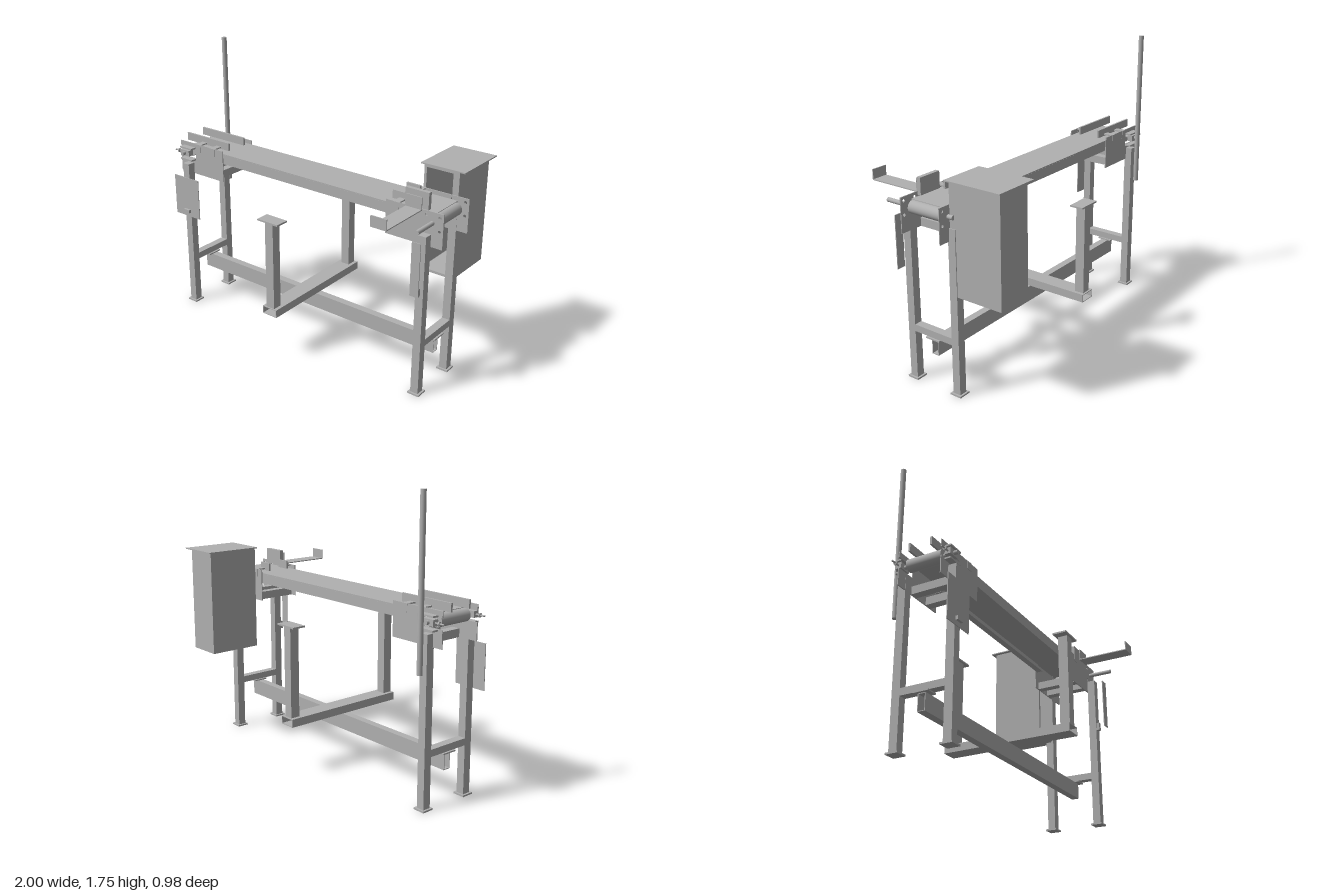
import * as THREE from 'three';

const steel = new THREE.MeshStandardMaterial({ color: 0xb0b0b0, side: THREE.DoubleSide });
steel.name = 'grey steel';

export function createModel() {
  const model = new THREE.Group();
  model.name = 'beltConveyor';

  const add = (name, geo) => {
    const mesh = new THREE.Mesh(geo, steel);
    mesh.name = name;
    model.add(mesh);
    return mesh;
  };
  // Box given by its extents on each axis
  const box = (name, x0, x1, y0, y1, z0, z1) => {
    const m = add(name, new THREE.BoxGeometry(x1 - x0, y1 - y0, z1 - z0));
    m.position.set((x0 + x1) / 2, (y0 + y1) / 2, (z0 + z1) / 2);
    return m;
  };
  // Cylinder along z or x
  const rod = (name, axis, r, a, b, u, y, sides = 24) => {
    const m = add(name, new THREE.CylinderGeometry(r, r, b - a, sides));
    if (axis === 'z') {
      m.rotation.x = Math.PI / 2;
      m.position.set(u, y, (a + b) / 2);
    } else {
      m.rotation.z = Math.PI / 2;
      m.position.set((a + b) / 2, y, u);
    }
    return m;
  };
  const polygon = (pts) => new THREE.Shape(pts.map(([x, y]) => new THREE.Vector2(x, y)));
  const rect = (x0, x1, y0, y1) => [[x0, y0], [x1, y0], [x1, y1], [x0, y1]];
  // Upright sheet cut from an outline with holes, lying in the xy plane
  const sheet = (name, shape, z, depth) => {
    const m = add(name, new THREE.ExtrudeGeometry(shape, { depth, bevelEnabled: false }));
    m.position.z = z;
    return m;
  };
  const frame = (x0, x1, y0, y1, t) => {
    const s = polygon(rect(x0, x1, y0, y1));
    s.holes.push(polygon(rect(x0 + t, x1 - t, y0 + t, y1 - t)));
    return s;
  };

  // Four legs with feet, joined by a rail at each end
  for (const x of [-0.88, 0.905]) {
    for (const z of [0.177, -0.145]) {
      box('leg', x - 0.025, x + 0.025, 0.01, 1.0, z - 0.025, z + 0.025);
      box('foot', x - 0.037, x + 0.037, 0, 0.01, z - 0.037, z + 0.037);
    }
    box('endRail', x - 0.025, x + 0.025, 0.308, 0.35, -0.12, 0.153);
    box('railPlate', x - 0.037, x + 0.037, 0.3, 0.308, -0.035, 0.062);
  }

  // Hollow lower beam running the length of the stand
  const beam = add('lowerBeam', new THREE.ExtrudeGeometry(
    frame(-0.037, 0.01, 0.2, 0.3, 0.004), { depth: 1.82, bevelEnabled: false }));
  beam.rotation.y = Math.PI / 2;
  beam.position.x = -0.9;

  // Hollow cross tube with a post and top plate at each end
  sheet('crossTube', frame(-0.04, 0.065, 0.3, 0.35, 0.004), -0.403, 0.83);
  for (const z of [0.39, -0.362]) {
    box('post', -0.016, 0.043, 0.35, 0.907, z - 0.03, z + 0.03);
    box('postPlate', -0.062, 0.09, 0.907, 0.917, z - 0.043, z + 0.043);
  }

  // Conveyor bed: channel open underneath with inward lips
  box('bedTop', -0.9, 0.93, 1.097, 1.107, -0.117, 0.132);
  for (const s of [1, -1]) {
    const z = 0.0075 + s * 0.122;
    box('bedSide', -0.62, 0.65, 1.04, 1.1, z - 0.003, z + 0.003);
    const lip = z - s * 0.018;
    box('bedLip', -0.62, 0.65, 1.04, 1.046, lip - 0.018, lip + 0.018);
  }

  // Side plates: slotted at the tail, drilled around the bearing at the drive
  const tail = polygon([
    [-0.6, 0.925], [-0.97, 0.925], [-0.97, 1.03], [-0.84, 1.03], [-0.84, 1.095],
    [-0.97, 1.095], [-0.97, 1.13], [-0.83, 1.13], [-0.83, 1.11], [-0.8, 1.11],
    [-0.8, 1.13], [-0.71, 1.13], [-0.71, 1.11], [-0.67, 1.11], [-0.67, 1.13], [-0.6, 1.13]]);
  const drive = polygon([
    [0.635, 0.925], [1.0, 0.925], [1.0, 1.13], [0.72, 1.13],
    [0.72, 1.11], [0.68, 1.11], [0.68, 1.13], [0.635, 1.13]]);
  for (const x of [0.893, 0.977]) {
    for (const y of [1.025, 1.107]) {
      drive.holes.push(new THREE.Path().absarc(x, y, 0.009, 0, Math.PI * 2, true));
    }
  }
  for (const z of [0.143, -0.128]) {
    sheet('tailSidePlate', tail, z, 0.006);
    sheet('driveSidePlate', drive, z, 0.006);
  }

  // Cross bars under both ends
  for (const x of [-0.82, -0.68, 0.7, 0.83]) {
    box('crossBar', x - 0.025, x + 0.025, 0.925, 0.974, -0.122, 0.143);
  }

  // Guide rails on bent clips
  for (const [z, out] of [[0.08, 0.149], [-0.06, -0.128]]) {
    box('tailGuide', -0.97, -0.605, 1.115, 1.165, z - 0.006, z + 0.006);
    box('driveGuide', 0.635, 0.725, 1.115, 1.165, z - 0.006, z + 0.006);
    for (const x of [-0.815, -0.69, 0.7]) {
      box('guideClip', x - 0.02, x + 0.02, 1.122, 1.13, Math.min(z, out), Math.max(z, out));
      box('clipTab', x - 0.02, x + 0.02, 1.08, 1.13, out - 0.003, out + 0.003);
    }
  }

  // Drive roller and shaft, tail roller and shaft
  rod('driveRoller', 'z', 0.038, -0.1, 0.123, 0.932, 1.066, 32);
  rod('driveShaft', 'z', 0.013, -0.163, 0.305, 0.932, 1.066);
  rod('tailRoller', 'z', 0.038, -0.1, 0.123, -0.902, 1.066, 32);
  rod('tailShaft', 'z', 0.012, -0.185, 0.21, -0.902, 1.066);

  // Belt tensioners at the tail
  for (const z of [0.168, -0.148]) {
    box('tensionBlock', -0.94, -0.865, 1.048, 1.085, z - 0.018, z + 0.018);
    box('tensionGuide', -0.94, -0.84, 1.095, 1.105, z - 0.02, z + 0.02);
    box('tensionGuide', -0.94, -0.84, 1.018, 1.028, z - 0.02, z + 0.02);
    rod('tensionBolt', 'x', 0.005, -1.0, -0.94, z, 1.066, 12);
    rod('boltNut', 'x', 0.013, -0.972, -0.962, z, 1.066, 6);
  }

  // Drive cabinet, open at the front behind a narrow rim, with overhanging roof
  sheet('cabinetWalls', frame(0.7, 0.925, 0.61, 1.268, 0.005), -0.465, 0.33);
  box('cabinetBack', 0.7, 0.925, 0.61, 1.268, -0.468, -0.463);
  sheet('cabinetRim', frame(0.7, 0.925, 0.61, 1.268, 0.016), -0.136, 0.004);
  box('cabinetRoof', 0.677, 0.96, 1.266, 1.273, -0.492, -0.128);

  // Discharge chute with turned-up ends, and its stop block
  box('chuteFloor', 0.765, 0.865, 1.121, 1.127, 0.15, 0.488);
  box('chuteLip', 0.765, 0.865, 1.121, 1.185, 0.484, 0.49);
  box('chuteFlange', 0.765, 0.865, 1.121, 1.198, 0.15, 0.156);
  box('stopBlock', 0.74, 0.89, 1.12, 1.22, 0.1, 0.125);

  // Tall pole at the back of the tail end
  const pole = add('pole', new THREE.CylinderGeometry(0.016, 0.016, 0.975, 16));
  pole.position.set(-0.88, 1.2675, -0.197);

  // Control panel with a small switch box
  box('controlPanel', -0.985, -0.775, 0.635, 0.905, 0.202, 0.207);
  box('switchBox', -0.905, -0.855, 0.662, 0.685, 0.207, 0.222);

  // Strip guard in front of the drive leg
  box('stripGuard', 0.88, 0.935, 0.662, 0.985, 0.258, 0.263);
  box('guardTab', 0.885, 0.91, 0.64, 0.69, 0.202, 0.222);

  return model;
}
